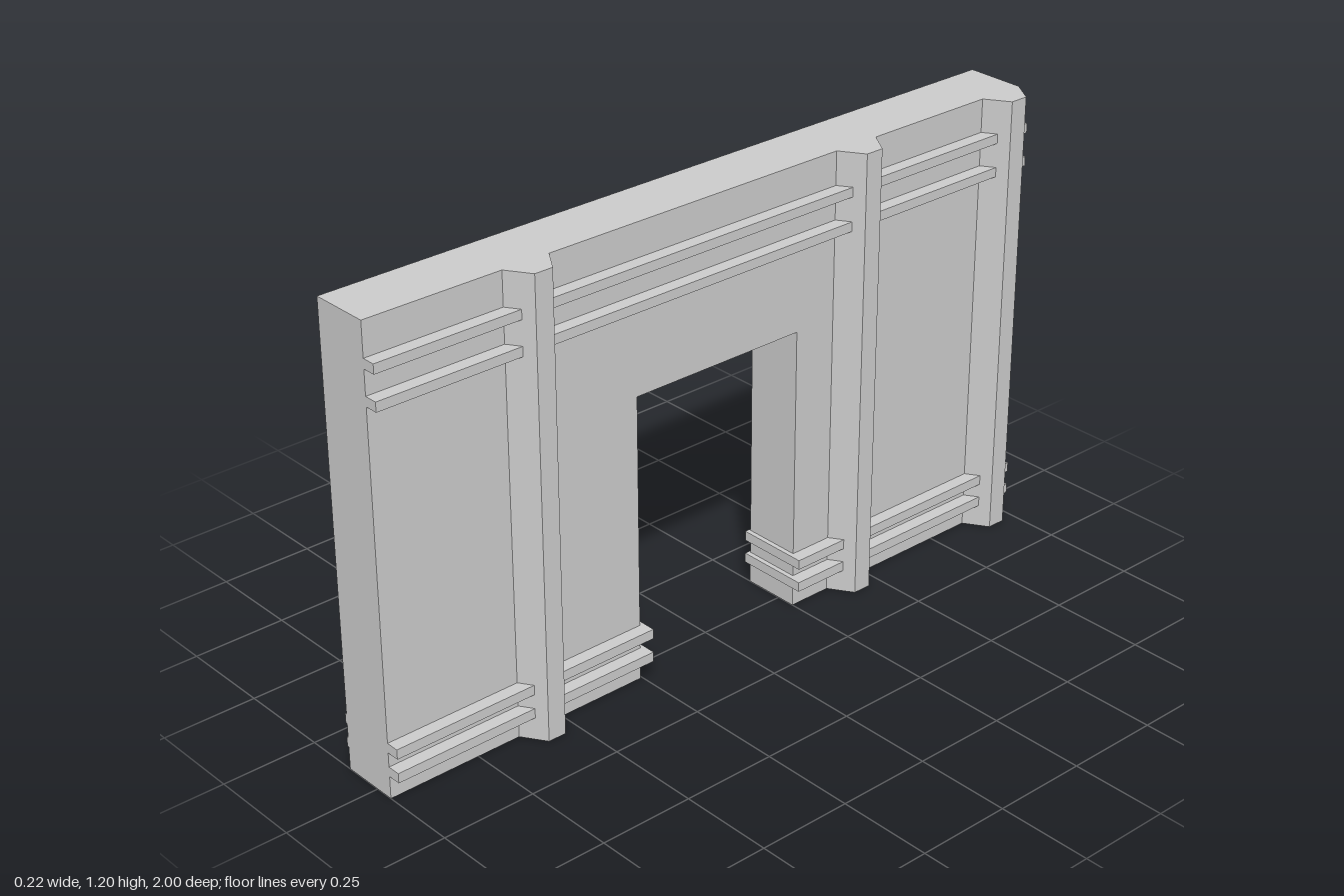
import * as THREE from 'three';

const mat = new THREE.MeshStandardMaterial({ color: 0xcccccc, flatShading: true });
const BACK = -0.107, FRONT = 0.05, HEIGHT = 1.2;

function addMesh(group, name, geometry) {
  const mesh = new THREE.Mesh(geometry, mat);
  mesh.name = name;
  group.add(mesh);
}

// Box given by its limits on each axis
function boxBetween(x0, x1, y0, y1, z0, z1) {
  return new THREE.BoxGeometry(x1 - x0, y1 - y0, z1 - z0)
    .translate((x0 + x1) / 2, (y0 + y1) / 2, (z0 + z1) / 2);
}

const shapeOf = (points) => new THREE.Shape(points.map(([a, b]) => new THREE.Vector2(a, b)));

export function createModel() {
  const group = new THREE.Group();
  group.name = 'doorwayWall';

  // Wall slab with a door opening, drawn in (z, y) and extruded along x
  const outline = shapeOf([
    [-1, 0], [-0.25, 0], [-0.25, 0.765], [0.255, 0.765],
    [0.255, 0], [1, 0], [1, HEIGHT], [-1, HEIGHT],
  ]);
  const wall = new THREE.ExtrudeGeometry(outline, { depth: FRONT - BACK, bevelEnabled: false });
  wall.rotateY(-Math.PI / 2).translate(FRONT, 0, 0);
  addMesh(group, 'wall', wall);

  // Vertical ribs with chamfered sides
  const ribShape = shapeOf([[FRONT, -0.065], [0.112, -0.025], [0.112, 0.025], [FRONT, 0.065]]);
  [0.565, -0.435, -0.935].forEach((z, i) => {
    const rib = new THREE.ExtrudeGeometry(ribShape, { depth: HEIGHT, bevelEnabled: false });
    rib.rotateX(-Math.PI / 2).translate(0, 0, z);
    addMesh(group, `rib${i + 1}`, rib);
  });

  // Upper rails along the ribbed face
  [0.998, 1.087].forEach((y, i) => {
    addMesh(group, `upperRail${i + 1}`, boxBetween(FRONT, 0.085, y, y + 0.025, -1, 1));
  });

  // Lower rails wrap both faces and the door jambs
  [0.06, 0.124].forEach((y, i) => {
    addMesh(group, `lowerRailLeft${i + 1}`, boxBetween(-0.112, 0.085, y, y + 0.026, 0.243, 1));
    addMesh(group, `lowerRailRight${i + 1}`, boxBetween(-0.112, 0.085, y, y + 0.026, -1, -0.237));
  });

  return group;
}
